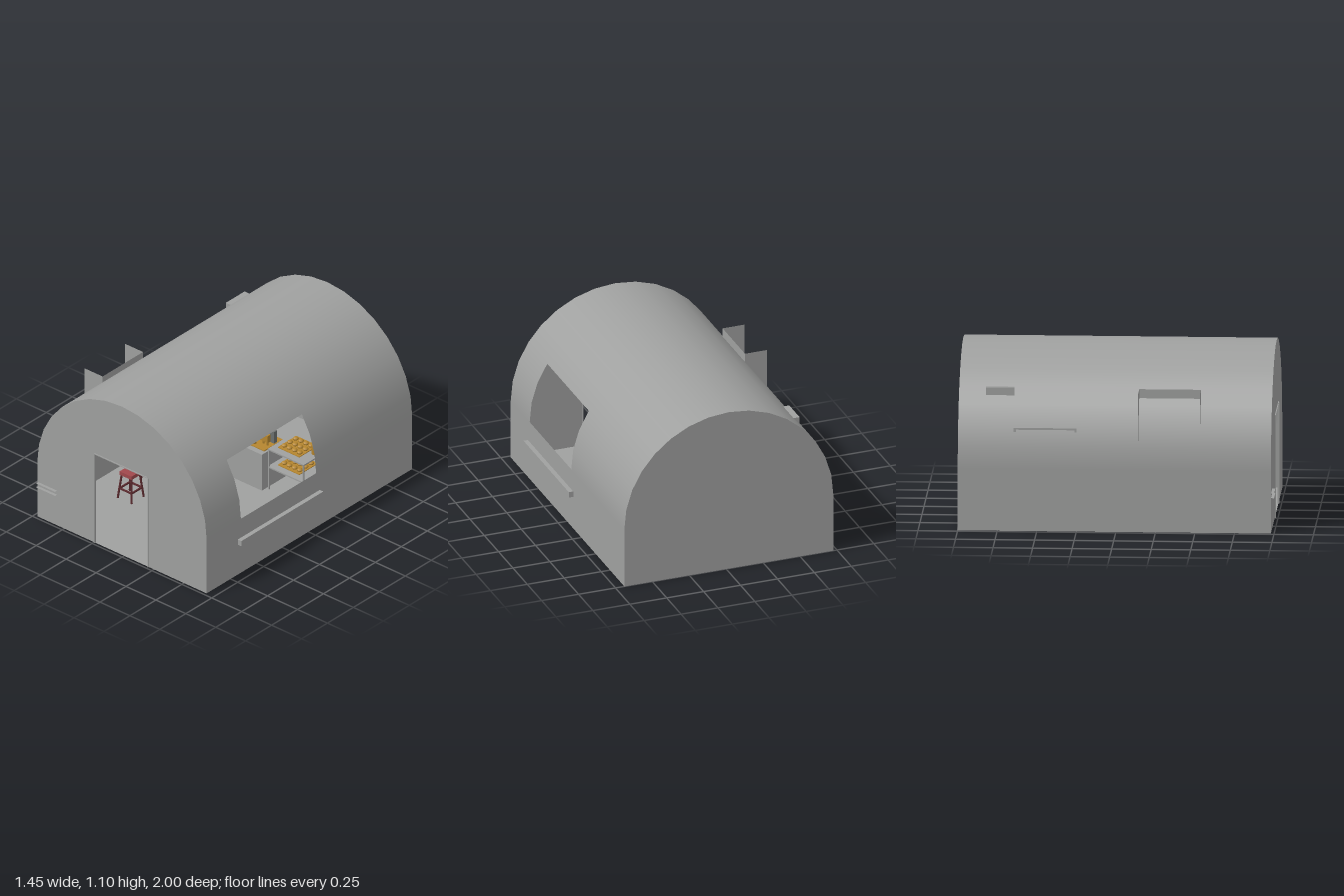
import * as THREE from 'three';

const CX = -0.0175, HALF = 0.7075, R = 0.7, SPRING = 0.4, BACK = -1, FRONT = 0.98;
const SEG = Math.PI / 16;

export function createModel() {
  const model = new THREE.Group();
  const mat = (name, color, side = THREE.FrontSide) => {
    const m = new THREE.MeshStandardMaterial({ color, side });
    m.name = name;
    return m;
  };
  const grey = mat('plain grey', 0x9fa09f, THREE.DoubleSide);
  const dark = mat('dark grey', 0x6c706f);
  const red = mat('seat red', 0xa0484c);
  const maroon = mat('leg maroon', 0x5e2c30);
  const brown = mat('golden brown', 0xb5862f);

  const add = (name, geo, material, x = 0, y = 0, z = 0, parent = model) => {
    const m = new THREE.Mesh(geo, material);
    m.name = name;
    m.position.set(x, y, z);
    parent.add(m);
    return m;
  };
  // Box given by its two extreme corners
  const box = (name, material, x0, x1, y0, y1, z0, z1, parent = model) =>
    add(name, new THREE.BoxGeometry(x1 - x0, y1 - y0, z1 - z0), material,
      (x0 + x1) / 2, (y0 + y1) / 2, (z0 + z1) / 2, parent);

  // Vaulted roof: open cylinder strips, leaving the serving window free
  const vault = (name, first, count, z0, z1) => {
    const g = new THREE.CylinderGeometry(R, R, z1 - z0, count, 1, true, Math.PI / 2 + first * SEG, count * SEG);
    g.rotateX(Math.PI / 2).scale(HALF / R, 1, 1);
    add(name, g, grey, CX, SPRING, (z0 + z1) / 2);
  };
  vault('roof', 3, 13, BACK, FRONT);
  vault('roofBehindWindow', 0, 3, BACK, -0.075);
  vault('roofBeforeWindow', 0, 3, 0.65, FRONT);

  // Straight lower walls and floor
  for (const s of [-1, 1]) {
    const g = new THREE.PlaneGeometry(FRONT - BACK, SPRING).rotateY(s * Math.PI / 2);
    add(s > 0 ? 'leftWall' : 'rightWall', g, grey, CX + s * HALF, SPRING / 2, (FRONT + BACK) / 2);
  }
  add('floor', new THREE.PlaneGeometry(HALF * 2, FRONT - BACK).rotateX(-Math.PI / 2), grey, CX, 0, (FRONT + BACK) / 2);

  // Arched end walls, the front one with a doorway
  const endWall = (door) => {
    const pts = [];
    for (let i = 0; i <= 16; i++) {
      pts.push(new THREE.Vector2(CX + HALF * Math.cos(i * SEG), SPRING + R * Math.sin(i * SEG)));
    }
    pts.push(new THREE.Vector2(CX - HALF, 0));
    if (door) {
      for (const [x, y] of [[-0.24, 0], [-0.24, 0.656], [0.2, 0.656], [0.2, 0]]) pts.push(new THREE.Vector2(x, y));
    }
    pts.push(new THREE.Vector2(CX + HALF, 0));
    return new THREE.ShapeGeometry(new THREE.Shape(pts));
  };
  add('frontWall', endWall(true), grey, 0, 0, FRONT);
  add('backWall', endWall(false).rotateY(Math.PI), grey, 2 * CX, 0, BACK);

  // Thin door frame
  box('doorJambRight', grey, -0.246, -0.24, 0, 0.66, 0.975, 0.986);
  box('doorJambLeft', grey, 0.2, 0.206, 0, 0.66, 0.975, 0.986);
  box('doorHead', grey, -0.24, 0.2, 0.656, 0.662, 0.975, 0.986);

  // Ledge under the serving window
  box('servingLedge', grey, 0.688, 0.72, 0.222, 0.26, -0.11, 0.68);

  // Small bracket on the front wall
  for (const y of [0.227, 0.257]) {
    add('frontBracket', new THREE.PlaneGeometry(0.16, 0.02).rotateX(-Math.PI / 2), grey, -0.64, y, 0.99);
  }

  // Dormer on the right: open top, two cheeks and a back plate
  for (const z of [0.14, 0.53]) {
    add('dormerCheek', new THREE.PlaneGeometry(0.15, 0.49), grey, -0.645, 0.645, z);
  }
  add('dormerBack', new THREE.PlaneGeometry(0.39, 0.49).rotateY(Math.PI / 2), grey, -0.57, 0.645, 0.335);

  // Vent and rail on the right side
  box('vent', grey, -0.563, -0.52, 0.835, 0.89, -0.83, -0.65);
  box('sideRail', grey, -0.688, -0.676, 0.645, 0.657, -0.65, -0.25);
  for (const z of [-0.65, -0.262]) box('railEnd', grey, -0.688, -0.655, 0.63, 0.657, z, z + 0.012);

  // Counter with tray, till and bottles
  box('counter', grey, -0.5, 0.145, 0.001, 0.267, -0.45, -0.18);
  box('counterTray', brown, -0.1, 0.13, 0.267, 0.273, -0.4, -0.22);
  box('till', dark, 0.015, 0.135, 0.285, 0.37, -0.34, -0.31);
  box('tillStand', dark, 0.06, 0.09, 0.267, 0.29, -0.335, -0.315);
  box('breadBoard', brown, 0.05, 0.115, 0.3, 0.35, -0.3, -0.27);
  for (const x of [0.06, 0.095]) box('boardFoot', brown, x, x + 0.012, 0.27, 0.3, -0.29, -0.28);
  add('pot', new THREE.CylinderGeometry(0.02, 0.015, 0.04, 10), brown, 0.02, 0.293, -0.25);
  for (const [x, z] of [[-0.04, -0.25], [-0.025, -0.29], [-0.01, -0.25]]) {
    add('bottle', new THREE.CylinderGeometry(0.008, 0.01, 0.055, 8), red, x, 0.3, z);
  }

  // Menu board on the back wall
  box('menuBoard', grey, -0.18, 0.142, 0.577, 0.637, -0.98, -0.96);

  // Two-tier food display
  const display = new THREE.Group();
  display.name = 'foodDisplay';
  model.add(display);
  for (const y of [0.17, 0.3]) {
    box('shelf', grey, 0.16, 0.46, y - 0.01, y, -0.5, -0.22, display);
    box('foodTray', brown, 0.2, 0.38, y, y + 0.005, -0.45, -0.27, display);
    for (let i = 0; i < 12; i++) {
      const bun = add('bun', new THREE.SphereGeometry(0.019, 8, 6), brown,
        0.225 + (i % 4) * 0.043, y + 0.012, -0.415 + Math.floor(i / 4) * 0.055, display);
      bun.scale.y = 0.65;
    }
  }
  for (const x of [0.16, 0.45]) for (const z of [-0.5, -0.23]) {
    box('displayPost', grey, x, x + 0.01, 0.001, 0.3, z, z + 0.01, display);
  }
  add('jar', new THREE.CylinderGeometry(0.025, 0.022, 0.065, 10), brown, 0.425, 0.333, -0.37, display);
  add('jarLid', new THREE.CylinderGeometry(0.018, 0.018, 0.012, 10), dark, 0.425, 0.371, -0.37, display);

  // Bar stools with splayed legs
  for (const [x, z] of [[-0.43, 0.42], [-0.47, 0.15]]) {
    const stool = new THREE.Group();
    stool.name = 'stool';
    stool.position.set(x, 0, z);
    model.add(stool);
    box('stoolSeat', red, -0.05, 0.05, 0.17, 0.195, -0.05, 0.05, stool);
    for (const sx of [-1, 1]) for (const sz of [-1, 1]) {
      const path = new THREE.LineCurve3(new THREE.Vector3(sx * 0.058, 0.001, sz * 0.058), new THREE.Vector3(sx * 0.04, 0.175, sz * 0.04));
      add('stoolLeg', new THREE.TubeGeometry(path, 1, 0.007, 6), maroon, 0, 0, 0, stool);
    }
    for (const s of [-1, 1]) {
      box('footRest', maroon, -0.05, 0.05, 0.065, 0.075, s * 0.05 - 0.005, s * 0.05 + 0.005, stool);
      box('footRest', maroon, s * 0.05 - 0.005, s * 0.05 + 0.005, 0.065, 0.075, -0.05, 0.05, stool);
    }
  }
  return model;
}
